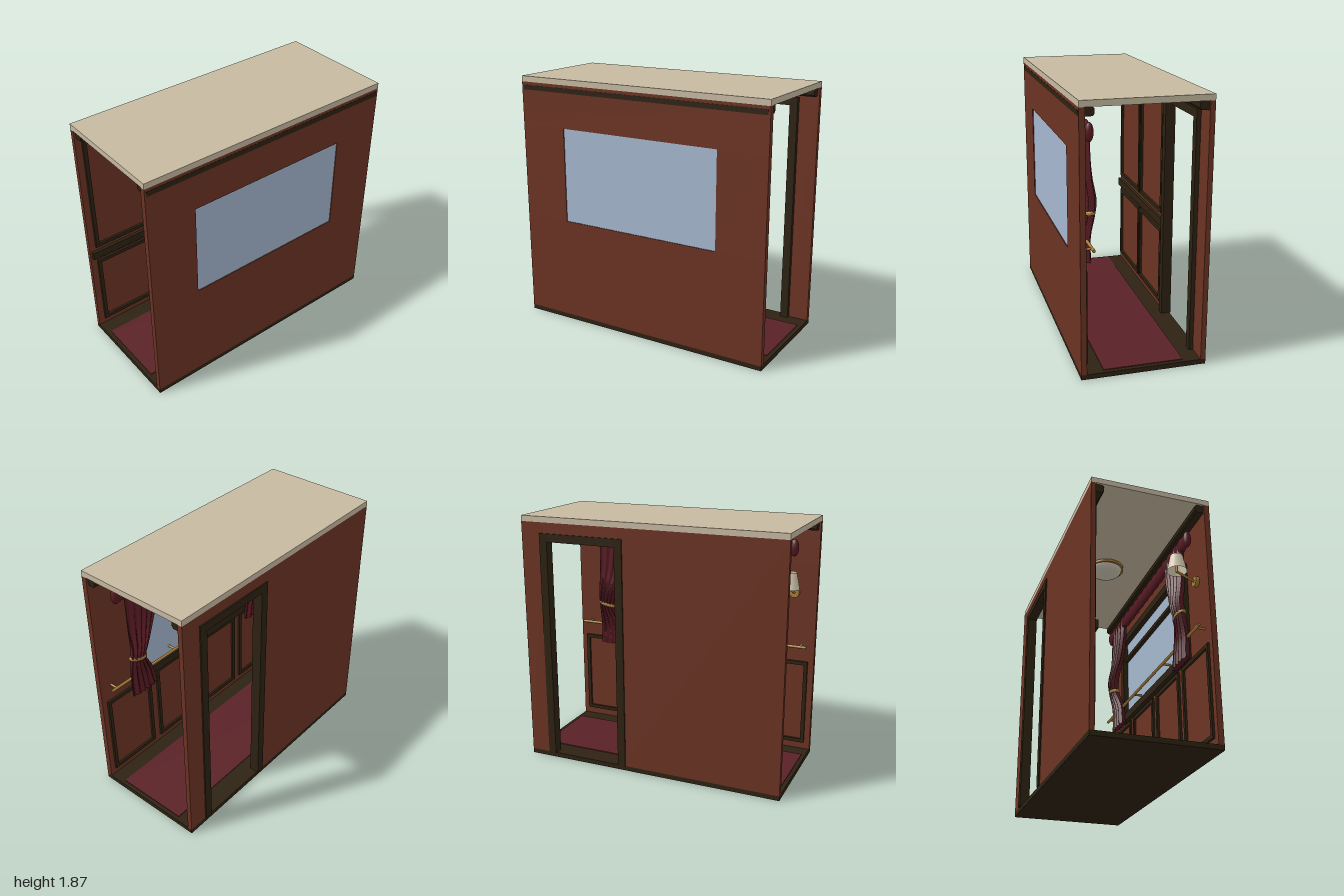
import * as THREE from 'three';

const mat = (name, color, side = THREE.FrontSide) => {
  const m = new THREE.MeshStandardMaterial({ color, side });
  m.name = name;
  return m;
};

export function createModel() {
  const root = new THREE.Group();
  root.name = 'corridorSection';
  const wood = mat('mahogany', 0x6b3323);
  const trim = mat('darkTrim', 0x2d2212);
  const cream = mat('creamRoof', 0xc6b9a1);
  const glass = mat('windowGlass', 0xa5b7ce);
  const carpetRed = mat('carpetRed', 0x5a2227);
  const curtainRed = mat('curtainRed', 0x561a22);
  const brass = mat('brass', 0xa67c3a);
  const shadeCream = mat('lampShade', 0xd8ccb2, THREE.DoubleSide);
  const dome = mat('domeGlass', 0xd0c8b6);

  const add = (name, geo, m, parent = root) => {
    const mesh = new THREE.Mesh(geo, m);
    mesh.name = name;
    parent.add(mesh);
    return mesh;
  };
  // Box given by its extents
  const box = (name, m, x0, x1, y0, y1, z0, z1, parent = root) => {
    const mesh = add(name, new THREE.BoxGeometry(x1 - x0, y1 - y0, z1 - z0), m, parent);
    mesh.position.set((x0 + x1) / 2, (y0 + y1) / 2, (z0 + z1) / 2);
    return mesh;
  };
  // Rectangular frame of four bars lying against a side wall
  const frame = (name, m, x0, x1, y0, y1, z0, z1, w) => {
    const g = new THREE.Group();
    g.name = name;
    box('bottomBar', m, x0, x1, y0, y0 + w, z0, z1, g);
    box('topBar', m, x0, x1, y1 - w, y1, z0, z1, g);
    box('backBar', m, x0, x1, y0 + w, y1 - w, z0, z0 + w, g);
    box('frontBar', m, x0, x1, y0 + w, y1 - w, z1 - w, z1, g);
    root.add(g);
  };
  // Rod along z or between two points
  const rod = (name, m, a, b, r) => {
    const p = new THREE.LineCurve3(new THREE.Vector3(...a), new THREE.Vector3(...b));
    const mesh = add(name, new THREE.CylinderGeometry(r, r, p.getLength(), 16), m);
    mesh.position.copy(p.getPoint(0.5));
    mesh.quaternion.setFromUnitVectors(new THREE.Vector3(0, 1, 0), p.getTangent(0));
    return mesh;
  };

  // Floor, carpet, roof
  box('floor', trim, -0.435, 0.44, 0, 0.035, -1, 1);
  box('carpet', carpetRed, -0.28, 0.28, 0.035, 0.041, -0.97, 0.97);
  box('roof', cream, -0.435, 0.44, 1.828, 1.87, -1, 1);

  // Window wall
  box('windowWallLower', wood, 0.4, 0.44, 0.035, 0.8, -1, 1);
  box('windowWallUpper', wood, 0.4, 0.44, 1.51, 1.828, -1, 1);
  for (const s of [-1, 1]) {
    const z = [s * 0.63, s * 1].sort((a, b) => a - b);
    box('windowWallSide', wood, 0.4, 0.44, 0.8, 1.51, z[0], z[1]);
  }
  box('windowPane', glass, 0.405, 0.434, 0.8, 1.51, -0.63, 0.63);
  frame('windowFrame', trim, 0.362, 0.402, 0.77, 1.54, -0.67, 0.67, 0.06);
  box('windowTransom', trim, 0.375, 0.406, 1.315, 1.345, -0.61, 0.61);
  box('outerCornice', trim, 0.43, 0.4415, 1.77, 1.806, -0.985, 0.985);
  for (let i = 0; i < 4; i++) {
    const z = -0.74 + i * 0.4933;
    frame('lowerPanel', trim, 0.384, 0.402, 0.09, 0.755, z - 0.215, z + 0.215, 0.028);
  }

  // Door wall with an open doorway near the back
  box('doorWallBack', wood, -0.435, -0.4, 0.035, 1.828, -1, -0.82);
  box('doorWallFront', wood, -0.435, -0.4, 0.035, 1.828, -0.22, 1);
  box('doorWallLintel', wood, -0.435, -0.4, 1.72, 1.828, -0.82, -0.22);
  box('doorPost', trim, -0.444, -0.37, 0.035, 1.75, -0.85, -0.79);
  box('doorPost', trim, -0.444, -0.37, 0.035, 1.75, -0.25, -0.19);
  box('doorHead', trim, -0.444, -0.37, 1.69, 1.75, -0.79, -0.25);
  box('chairRail', trim, -0.402, -0.375, 0.72, 0.78, -0.19, 0.985);
  for (const z of [-0.15, 0.41]) {
    frame('lowerPanel', trim, -0.402, -0.382, 0.09, 0.69, z, z + 0.54, 0.028);
    frame('upperPanel', trim, -0.402, -0.382, 0.815, 1.735, z, z + 0.54, 0.028);
  }

  // Crown mouldings with bevelled section
  for (const s of [-1, 1]) {
    const sh = new THREE.Shape();
    [[0.4, 1.828], [0.35, 1.828], [0.338, 1.815], [0.338, 1.782], [0.35, 1.768], [0.4, 1.768]]
      .forEach(([x, y], i) => (i ? sh.lineTo(s * x, y) : sh.moveTo(s * x, y)));
    const g = new THREE.ExtrudeGeometry(sh, { depth: 1.97, bevelEnabled: false });
    add('crownMoulding', g.translate(0, 0, -0.985), trim);
  }

  // Curtains: pleated tubes gathered at the tie, mirrored front and back
  const rows = [ // y, centre x, inner z, half thickness
    [0.73, 0.328, 0.52, 0.022], [0.9, 0.33, 0.56, 0.022], [1.05, 0.308, 0.635, 0.026],
    [1.15, 0.298, 0.61, 0.03], [1.32, 0.318, 0.52, 0.024], [1.5, 0.326, 0.46, 0.02], [1.64, 0.33, 0.45, 0.02],
  ];
  const spine = new THREE.CatmullRomCurve3(rows.map(r => new THREE.Vector3(r[1], r[0], r[2])));
  const thick = new THREE.CatmullRomCurve3(rows.map(r => new THREE.Vector3(r[3], r[0], 0)));
  for (const s of [-1, 1]) {
    const g = new THREE.CylinderGeometry(1, 1, 1, 96, 28);
    const p = g.attributes.position;
    for (let i = 0; i < p.count; i++) {
      const t = p.getY(i) + 0.5;
      const c = spine.getPoint(t);
      const h = thick.getPoint(t).x;
      const u = p.getZ(i);
      const pleat = Math.cos(u * Math.PI * 5) * 0.009 * Math.min(1, Math.hypot(p.getX(i), u));
      const mid = (c.z + 0.77) / 2;
      p.setXYZ(i, c.x + p.getX(i) * h + pleat, c.y, s * mid + (u * (0.77 - c.z)) / 2);
    }
    g.computeVertexNormals();
    add('curtain', g, curtainRed);
    // Brass tieback
    const tie = add('curtainTie', new THREE.TorusGeometry(1, 0.12, 8, 32), brass);
    tie.rotation.x = Math.PI / 2 - s * 0.2;
    tie.scale.set(0.037, 0.072, 0.12);
    tie.position.set(0.31, 1.065, s * 0.70);
  }
  // Gathered valance over the window
  const val = new THREE.CylinderGeometry(1, 1, 1.66, 32, 80);
  val.rotateX(Math.PI / 2);
  const vp = val.attributes.position;
  for (let i = 0; i < vp.count; i++) {
    const z = vp.getZ(i);
    const k = 0.93 + 0.07 * Math.cos(z * 60);
    vp.setXYZ(i, 0.336 + vp.getX(i) * 0.029 * k, 1.635 + vp.getY(i) * 0.064 * k, z);
  }
  val.computeVertexNormals();
  add('valance', val, curtainRed);
  for (const s of [-1, 1]) {
    const end = add('valanceEnd', new THREE.SphereGeometry(1, 24, 16), curtainRed);
    end.scale.set(0.029, 0.064, 0.03);
    end.position.set(0.336, 1.635, s * 0.83);
  }

  // Handrail
  rod('handrail', brass, [0.337, 0.885, -0.95], [0.337, 0.885, 0.95], 0.011);
  for (const z of [-0.9, -0.3, 0.3, 0.9]) rod('railBracket', brass, [0.337, 0.885, z], [0.402, 0.885, z], 0.009);

  // Wall lamp near the front
  const lz = 0.83;
  rod('lampWallPlate', brass, [0.372, 1.29, lz], [0.402, 1.29, lz], 0.038);
  rod('lampArm', brass, [0.38, 1.29, lz], [0.247, 1.345, lz], 0.009);
  rod('lampStem', brass, [0.247, 1.34, lz], [0.247, 1.4, lz], 0.009);
  add('lampShade', new THREE.CylinderGeometry(0.045, 0.071, 0.124, 32, 1, true), shadeCream)
    .position.set(0.247, 1.41, lz);

  // Ceiling light
  add('ceilingLightRing', new THREE.CylinderGeometry(0.14, 0.14, 0.02, 40), brass).position.set(0, 1.81, 0);
  add('ceilingLightBase', new THREE.CylinderGeometry(0.12, 0.12, 0.012, 40), brass).position.set(0, 1.824, 0);
  const bowl = add('ceilingLightBowl',
    new THREE.SphereGeometry(1, 40, 16, 0, Math.PI * 2, Math.PI / 2, Math.PI / 2), dome);
  bowl.scale.set(0.125, 0.06, 0.125);
  bowl.position.set(0, 1.802, 0);

  return root;
}
